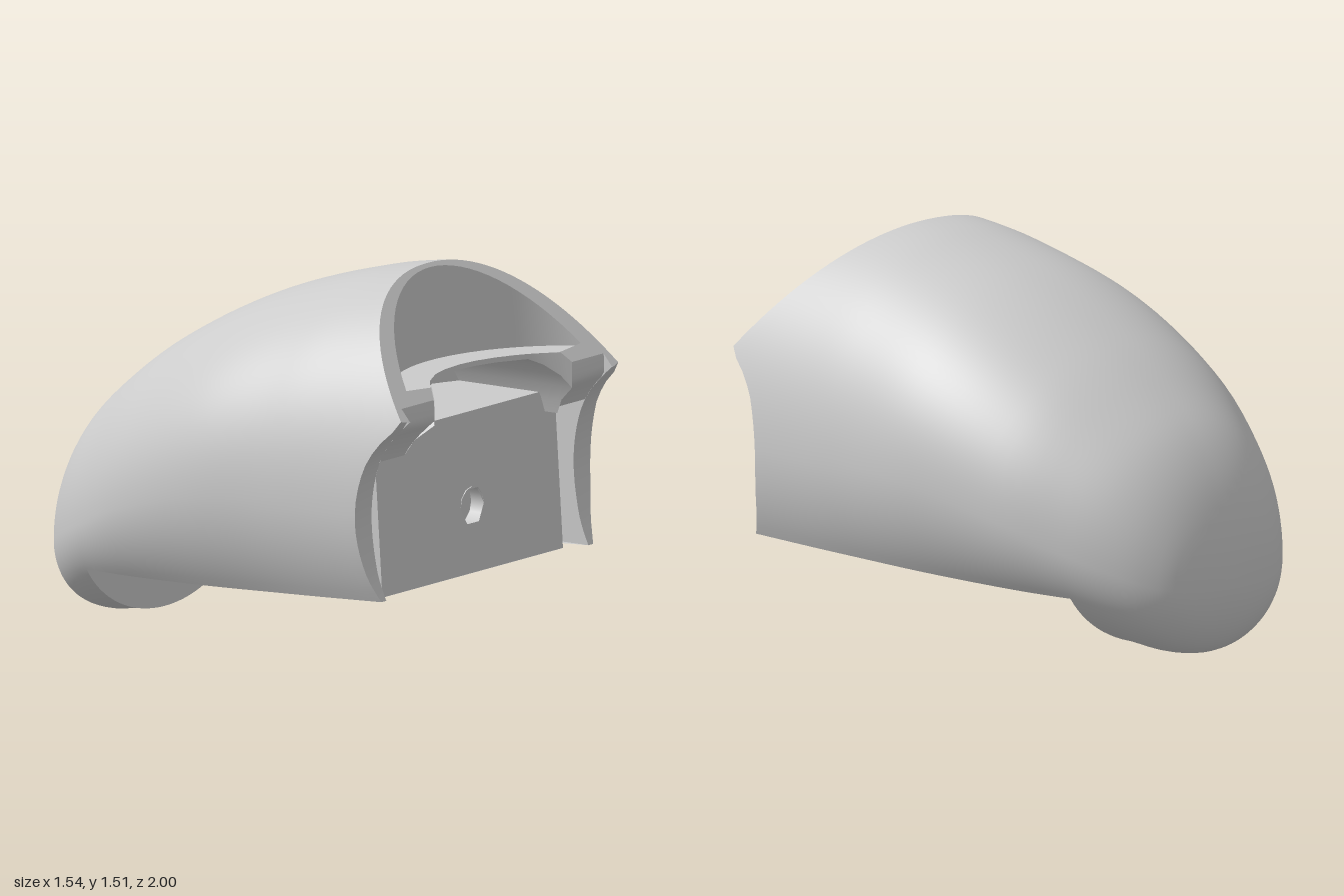
import * as THREE from 'three';
import { mergeGeometries, mergeVertices } from 'three/addons/utils/BufferGeometryUtils.js';

// Smooth interpolation through table rows [key, a, b, ...]
function interp(table, key, col) {
  let i = 0;
  while (i < table.length - 2 && key > table[i + 1][0]) i++;
  const slope = (a, b) => (table[b][col] - table[a][col]) / (table[b][0] - table[a][0]);
  const tangent = (k) => slope(Math.max(k - 1, 0), Math.min(k + 1, table.length - 1));
  const h = table[i + 1][0] - table[i][0], t = (key - table[i][0]) / h, t2 = t * t, t3 = t2 * t;
  return (2 * t3 - 3 * t2 + 1) * table[i][col] + (t3 - 2 * t2 + t) * h * tangent(i)
    + (3 * t2 - 2 * t3) * table[i + 1][col] + (t3 - t2) * h * tangent(i + 1);
}

// Surface grid from a rule fn(i, j) -> [x, y, z]
function grid(nu, nv, fn) {
  const pos = [], index = [];
  for (let i = 0; i <= nu; i++) for (let j = 0; j <= nv; j++) pos.push(...fn(i, j));
  const row = nv + 1;
  for (let i = 0; i < nu; i++) for (let j = 0; j < nv; j++) {
    const a = i * row + j, b = a + row;
    index.push(a, b, a + 1, b, b + 1, a + 1);
  }
  const geo = new THREE.BufferGeometry();
  geo.setAttribute('position', new THREE.Float32BufferAttribute(pos, 3));
  geo.setIndex(index);
  geo.computeVertexNormals();
  return geo;
}

// Flat outline whose points are then moved by a rule
function sheet(points, place, hole) {
  const shape = new THREE.Shape(points.map(([x, y]) => new THREE.Vector2(x, y)));
  if (hole) shape.holes.push(hole);
  const geo = new THREE.ShapeGeometry(shape, 3);
  const p = geo.attributes.position;
  for (let i = 0; i < p.count; i++) p.setXYZ(i, ...place(p.getX(i), p.getY(i)));
  geo.computeVertexNormals();
  return geo;
}

// Body sections: sqrt(z + 1), top, bottom, half width, height of widest point
const sections = [
  [-1, 0.27, 0.27, 0, 0.27], [-0.97, 0.5, 0.11, 0.24, 0.28], [-0.9, 0.69, 0.02, 0.37, 0.31],
  [-0.8, 0.84, 0, 0.47, 0.36], [-0.64, 0.985, 0.02, 0.575, 0.43], [-0.4, 1.155, 0, 0.68, 0.54],
  [0, 1.355, -0.05, 0.76, 0.66], [0.4, 1.475, -0.09, 0.77, 0.68], [0.6, 1.51, -0.11, 0.77, 0.68],
  [1.1, 1.56, -0.12, 0.77, 0.68],
].map(([z, ...r]) => [Math.sqrt(z + 1), ...r]);
// Concave lower front edge: y, z
const frontEdge = [[0.25, 0.93], [0.33, 0.885], [0.45, 0.84], [0.67, 0.815], [0.86, 0.85], [0.97, 0.92], [1.04, 1]];

const STEP = -0.64, WALL = 0.66, SHELF = 1.13, GROOVE = 0.72;
const floorY = (z) => 0.33 - (0.88 - z) * 0.0526;
const cutZ = (y) => 0.6 + (1.51 - y) * 0.85;
const frontZ = (y) => (y > 1.04 ? cutZ(y) : interp(frontEdge, y, 1));
const panelZ = (y) => 0.83 - (y - 0.33) * 0.065;
const lipZ = (y) => Math.min(0.96, frontZ(y));
const bridgeZ = (x) => 0.75 + 0.587 - Math.sqrt(0.587 ** 2 - x * x);

function sectionPoint(z, angle) {
  const [top, bottom, w, mid] = [1, 2, 3, 4].map((c) => interp(sections, Math.sqrt(Math.max(z + 1, 0)), c));
  const s = Math.sin(angle), c = Math.cos(angle), e = s > 0 ? 2 / 2.15 : 1;
  const h = s > 0 ? top - mid : mid - bottom;
  return [w * Math.sign(c) * Math.abs(c) ** e, mid + h * Math.sign(s) * Math.abs(s) ** e, z];
}

// Angle where a section meets the sloping underside
function startAngle(z) {
  const q = Math.sqrt(Math.max(z, STEP) + 1), mid = interp(sections, q, 4);
  return Math.asin((floorY(Math.max(z, STEP)) - mid) / (mid - interp(sections, q, 2)));
}
function upperPoint(z, v) {
  const a = startAngle(z);
  return sectionPoint(z, a + (Math.PI - 2 * a) * v);
}
function lowerPoint(z, v) {
  const a = startAngle(z);
  return sectionPoint(z, Math.PI - a + (Math.PI + 2 * a) * v);
}

export function createModel() {
  const model = new THREE.Group();
  const material = new THREE.MeshStandardMaterial({ color: 0xcccccc, side: THREE.DoubleSide });
  const add = (name, geo) => {
    const mesh = new THREE.Mesh(geo, material);
    mesh.name = name;
    model.add(mesh);
  };

  // Smooth outer shell, ending on the front cut
  const NV = 80, NT = 18, NM = 28;
  const ends = [];
  for (let j = 0; j <= NV; j++) {
    let lo = 0.4, hi = 1.1;
    for (let k = 0; k < 30; k++) {
      const m = (lo + hi) / 2;
      if (m < frontZ(upperPoint(m, j / NV)[1])) lo = m; else hi = m;
    }
    ends.push(lo);
  }
  const noseZ = (i) => -1 + (STEP + 1) * (i / NT) ** 2;
  const upper = grid(NT + NM, NV, (i, j) =>
    upperPoint(i <= NT ? noseZ(i) : STEP + (ends[j] - STEP) * (i - NT) / NM, j / NV));
  const toe = grid(NT, 32, (i, j) => lowerPoint(noseZ(i), j / 32));
  const shell = mergeGeometries([upper, toe]);
  shell.deleteAttribute('normal');
  const smooth = mergeVertices(shell, 1e-4);
  smooth.computeVertexNormals();
  add('outerShell', smooth);

  // Step face behind the toe
  add('toeStep', grid(1, 32, (i, j) => {
    const [x, y] = lowerPoint(STEP, j / 32);
    return [x, i ? y : floorY(STEP), STEP];
  }));

  // Sloping underside with a notch at each front corner
  const side = [];
  for (let i = 0; i <= 24; i++) {
    const z = STEP + (ends[0] - STEP) * i / 24;
    side.push([upperPoint(z, 0)[0], z]);
  }
  const front = [[WALL, ends[0]], [WALL, GROOVE], [0.57, GROOVE], [0.57, 0.83],
    [-0.61, 0.83], [-0.61, GROOVE], [-WALL, GROOVE], [-WALL, ends[0]]];
  const mirrored = side.map(([x, z]) => [-x, z]).reverse();
  add('underside', sheet([...side, ...front, ...mirrored], (x, z) => [x, floorY(z), z]));

  // Slanted rim around the upper recess
  const edge = ends.map((z, j) => upperPoint(z, j / NV));
  const arch = [];
  const half = Math.atan2(0.57, 0.28);
  for (let i = 0; i <= 32; i++) {
    const a = half - 2 * half * i / 32;
    arch.push([0.635 * Math.sin(a), 0.86 + 0.635 * Math.cos(a)]);
  }
  const foot = [[0.42, SHELF], [0.45, 1.09], [WALL, 1.09], [WALL, 1.04]];
  const rimOuter = edge.filter((p) => p[1] > 1.03).map(([x, y]) => [x, y]);
  add('frontRim', sheet([...rimOuter, ...foot.map(([x, y]) => [-x, y]).reverse(),
    ...arch.slice().reverse(), ...foot], (x, y) => [x, y, cutZ(y)]));

  // Recess: curved upright wall, shelf and the bridge edge below it
  add('recessWall', grid(1, 32, (i, j) => [arch[j][0], i ? SHELF : arch[j][1], cutZ(arch[j][1])]));
  add('shelf', grid(1, 32, (i, j) => {
    const [x, y] = arch[j];
    return [x, SHELF, i ? (Math.abs(x) < 0.42 ? bridgeZ(x) : cutZ(SHELF)) : cutZ(y)];
  }));
  const opening = [[0.5, 0.87], [0.48, 0.93], [0.45, 0.99], [0.42, 1.04], [0.37, 1.085], [0.32, 1.11],
    [0.2, 1.11], [0.1, 1.11], [0, 1.11]];
  const profile = [...opening, ...opening.slice(0, -1).reverse().map(([x, y]) => [-x, y])];
  const bridge = profile.slice(2, -2);
  add('bridgeEdge', grid(1, bridge.length - 1, (i, j) => {
    const [x, y] = bridge[j];
    return [x, i ? y : Math.min(SHELF, SHELF - (Math.abs(x) - 0.42) * 1.3), bridgeZ(x)];
  }));

  // Slot under the bridge
  const backZ = (x) => 0.3 + 0.5 * x * x;
  add('slotRoof', grid(1, profile.length - 1, (i, j) => {
    const [x, y] = profile[j];
    return [x, y, i ? backZ(x) : Math.abs(x) <= 0.45 ? bridgeZ(x) : lipZ(y)];
  }));
  add('slotBack', grid(1, profile.length - 1, (i, j) => [profile[j][0], i ? 0.87 : profile[j][1], backZ(profile[j][0])]));
  add('slotFloor', grid(1, 10, (i, j) => {
    const x = -0.5 + j * 0.1;
    return [x, 0.95, i ? panelZ(0.95) : backZ(x)];
  }));

  // Front panel with a round socket
  const hole = new THREE.Path();
  hole.absarc(0, 0.585, 0.076, 0, Math.PI * 2, true);
  add('frontPanel', sheet([[-0.61, 0.328], [0.57, 0.328], [0.57, 0.95], [-0.61, 0.95]], (x, y) => [x, y, panelZ(y)], hole));
  const socket = new THREE.CylinderGeometry(0.076, 0.076, 0.06, 12, 1, true);
  socket.rotateX(Math.PI / 2).translate(0, 0.585, panelZ(0.585) - 0.03);
  add('socketWall', socket);
  add('socketBack', new THREE.CircleGeometry(0.076, 12).translate(0, 0.585, panelZ(0.585) - 0.06));

  // Side walls, grooves and brackets
  for (const s of [1, -1]) {
    const inner = s > 0 ? 0.57 : 0.61, low = s > 0 ? 0.9 : 0.87;
    const lip = edge.filter((p) => p[0] * s > 0 && p[1] < 1.06);
    const yAt = (j) => 0.33 + 0.76 * j / 16;
    add('sideLip', grid(1, lip.length - 1, (i, j) => (i ? [s * WALL, lip[j][1], lip[j][2]] : lip[j])));
    add('grooveWall', grid(1, 16, (i, j) => [s * WALL, yAt(j), i ? GROOVE : frontZ(yAt(j))]));
    add('grooveBack', grid(1, 1, (i, j) => [s * (i ? inner : WALL), j ? 0.95 : 0.33, GROOVE]));
    add('panelSide', grid(1, 1, (i, j) => [s * inner, j ? 0.95 : 0.33, i ? GROOVE : panelZ(j ? 0.95 : 0.33)]));
    const openX = (y) => (y < 0.93 ? 0.5 - (y - 0.87) / 3 : Math.max(0.45, 0.48 - (y - 0.93) / 2));
    add('bracketFace', grid(1, 8, (i, j) => {
      const y = low + (1.09 - low) * j / 8;
      return [s * (i ? openX(y) : WALL), y, lipZ(y)];
    }));
    add('bracketBase', grid(1, 1, (i, j) => [s * (i ? 0.5 : WALL), low, j ? GROOVE : lipZ(low)]));
  }
  return model;
}
